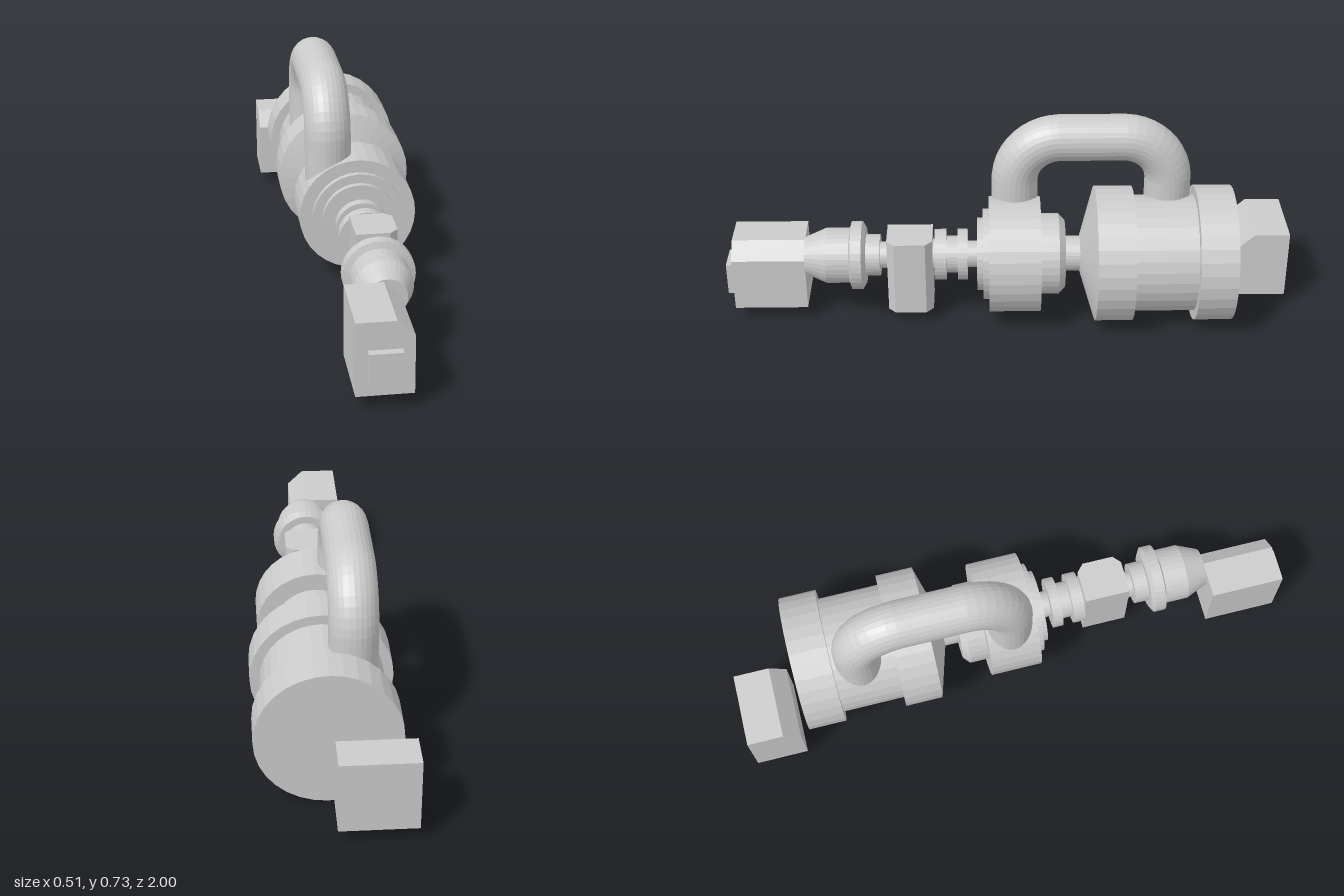
import * as THREE from 'three';

const AXIS_X = 0.013, AXIS_Y = 0.241;
const material = new THREE.MeshStandardMaterial({ color: 0xcccccc, flatShading: true });

function part(name, geometry) {
  const mesh = new THREE.Mesh(geometry, material);
  mesh.name = name;
  return mesh;
}

// Solid of revolution about the main shaft line; profile is [z, radius] from back to front
function turned(name, profile) {
  const closed = [[profile[0][0], 0], ...profile, [profile[profile.length - 1][0], 0]];
  const geometry = new THREE.LatheGeometry(closed.map(([z, r]) => new THREE.Vector2(r, z)), 32);
  geometry.rotateX(Math.PI / 2);
  geometry.translate(AXIS_X, AXIS_Y, 0);
  return part(name, geometry);
}

// Straight prism with a polygonal outline
function prism(points, depth) {
  const shape = new THREE.Shape(points.map(([x, y]) => new THREE.Vector2(x, y)));
  return new THREE.ExtrudeGeometry(shape, { depth, bevelEnabled: false });
}

// Overhead pipe: two legs, two rounded corners and a straight run
function pipe() {
  const x = -0.08, z1 = -0.025, z2 = -0.562, top = 0.655, bend = 0.16, foot = 0.3;
  const k = bend * 0.448;
  const v = (y, z) => new THREE.Vector3(x, y, z);
  const path = new THREE.CurvePath();
  path.add(new THREE.LineCurve3(v(foot, z1), v(top - bend, z1)));
  path.add(new THREE.CubicBezierCurve3(v(top - bend, z1), v(top - k, z1), v(top, z1 - k), v(top, z1 - bend)));
  path.add(new THREE.LineCurve3(v(top, z1 - bend), v(top, z2 + bend)));
  path.add(new THREE.CubicBezierCurve3(v(top, z2 + bend), v(top, z2 + k), v(top - k, z2), v(top - bend, z2)));
  path.add(new THREE.LineCurve3(v(top - bend, z2), v(foot, z2)));
  return part('overheadPipe', new THREE.TubeGeometry(path, 48, 0.081, 28, false));
}

export function createModel() {
  const model = new THREE.Group();
  model.name = 'machineTrain';

  // Large rear drum with raised bands and a conical front
  model.add(turned('rearDrum', [
    [-0.787, 0.239], [-0.655, 0.239], [-0.655, 0.206], [-0.437, 0.206],
    [-0.437, 0.239], [-0.305, 0.239], [-0.253, 0.065],
  ]));
  model.add(turned('rearShaft', [[-0.27, 0.062], [-0.18, 0.062]]));

  // Central casing with stepped flanges
  model.add(turned('centralCasing', [
    [-0.2, 0.12], [-0.178, 0.143], [-0.113, 0.143], [-0.113, 0.204], [0.067, 0.204],
    [0.067, 0.16], [0.088, 0.16], [0.088, 0.128], [0.109, 0.128],
  ]));
  model.add(pipe());

  // Coupling between the casing and the gearbox
  model.add(turned('coupling', [
    [0.1, 0.047], [0.142, 0.047], [0.142, 0.09], [0.177, 0.09], [0.177, 0.065],
    [0.217, 0.065], [0.217, 0.09], [0.258, 0.09], [0.258, 0.055], [0.28, 0.055],
  ]));

  // Upright gearbox with two cut corners
  const gearbox = prism([
    [-0.045, -0.265], [0.07, -0.265], [0.097, -0.29], [0.097, -0.4], [0.07, -0.425], [-0.045, -0.425],
  ], 0.28);
  gearbox.rotateX(-Math.PI / 2);
  gearbox.translate(0, 0.05, 0);
  model.add(part('gearbox', gearbox));

  // Front turbine with shaft, rim and tapered nose
  model.add(turned('frontTurbine', [
    [0.41, 0.047], [0.45, 0.047], [0.45, 0.073], [0.5, 0.073], [0.5, 0.1], [0.512, 0.12],
    [0.55, 0.12], [0.557, 0.098], [0.64, 0.098], [0.715, 0.066],
  ]));

  // Front cabinet with a sloped upper edge and a raised panel
  const cabinet = prism([[-0.125, 0.05], [0.058, 0.05], [0.058, 0.245], [0.002, 0.299], [-0.125, 0.299]], 0.258);
  cabinet.translate(0, 0, 0.715);
  model.add(part('frontCabinet', cabinet));
  const panel = new THREE.BoxGeometry(0.107, 0.117, 0.03);
  panel.translate(-0.034, 0.147, 0.985);
  model.add(part('frontPanel', panel));

  // Rear console with a sloped edge toward the drum
  const consoleBox = prism([[-1, 0.05], [-0.818, 0.05], [-0.818, 0.245], [-0.875, 0.299], [-1, 0.299]], 0.255);
  consoleBox.rotateY(-Math.PI / 2);
  model.add(part('rearConsole', consoleBox));

  return model;
}
